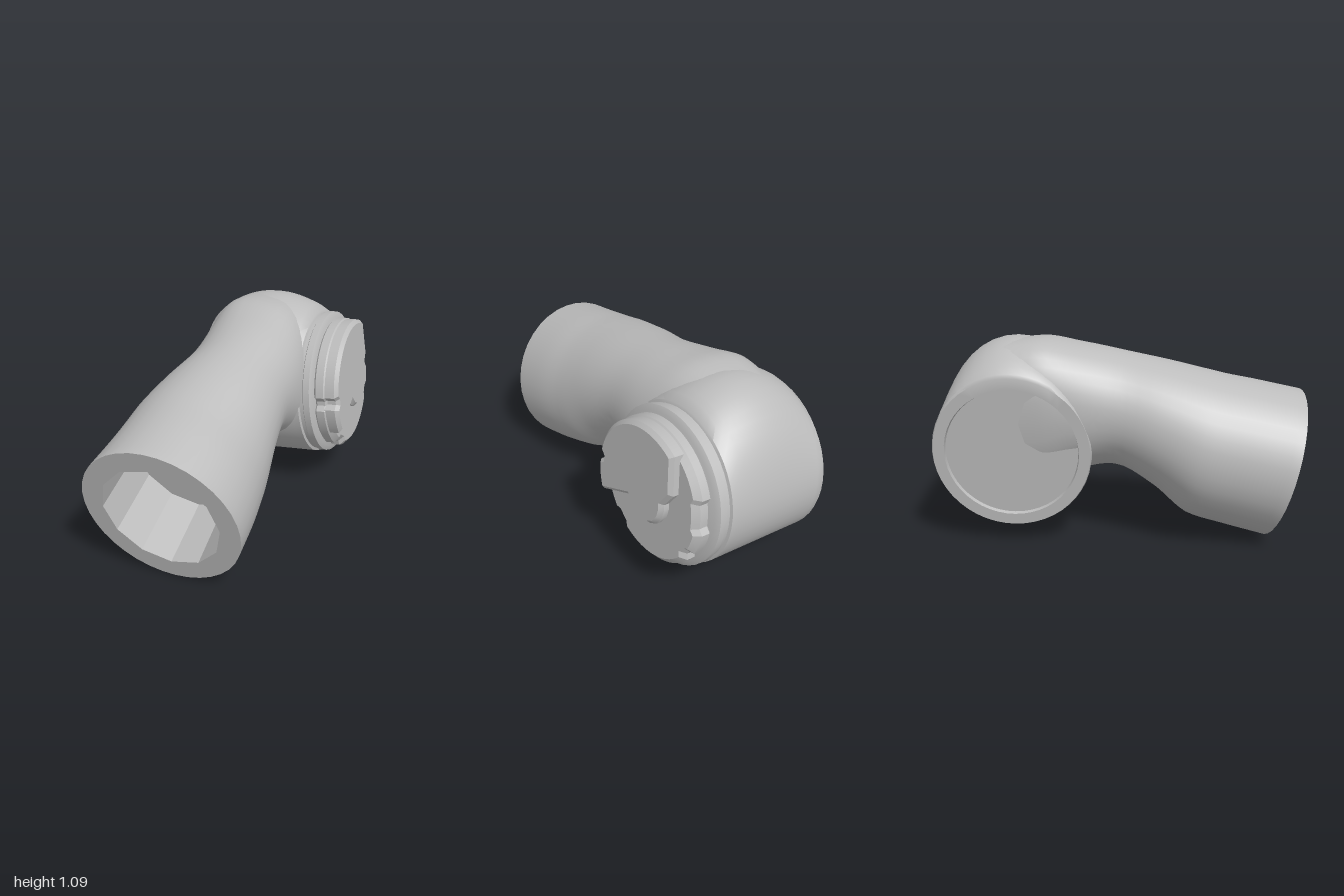
import * as THREE from 'three';
import { toCreasedNormals, mergeVertices } from 'three/addons/utils/BufferGeometryUtils.js';

const SIDES = 36;

// Skin a list of rings (each an array of SIDES Vector3) into one surface.
function loft(rings, crease) {
  const pos = [], idx = [];
  rings.forEach(r => r.forEach(p => pos.push(p.x, p.y, p.z)));
  for (let i = 0; i < rings.length - 1; i++) {
    for (let j = 0; j < SIDES; j++) {
      const k = (j + 1) % SIDES;
      const a = i * SIDES + j, b = i * SIDES + k, c = a + SIDES, d = b + SIDES;
      idx.push(a, c, b, b, c, d);
    }
  }
  const g = new THREE.BufferGeometry();
  g.setAttribute('position', new THREE.Float32BufferAttribute(pos, 3));
  g.setIndex(idx);
  g.computeVertexNormals();
  return toCreasedNormals(g, crease);
}

// Arm stations: centre x, y, z; half width; half height vector y, z.
const STATIONS = [
  [0.05, 0.405, 0.885, 0.41, 0.405, 0.10],
  [0.02, 0.46, 0.66, 0.40, 0.40, 0.09],
  [-0.02, 0.52, 0.445, 0.39, 0.39, 0.075],
  [-0.035, 0.62, 0.25, 0.355, 0.34, 0.05],
  [-0.045, 0.70, 0.025, 0.315, 0.31, 0.025],
  [-0.065, 0.71, -0.2, 0.32, 0.35, 0],
  [-0.085, 0.685, -0.4, 0.31, 0.41, 0],
  [-0.10, 0.66, -0.6, 0.29, 0.41, 0],
  [-0.10, 0.64, -0.75, 0.24, 0.30, 0],
  [-0.10, 0.62, -0.86, 0.001, 0.001, 0],
];
const centres = new THREE.CatmullRomCurve3(STATIONS.map(s => new THREE.Vector3(s[0], s[1], s[2])));
const sizes = new THREE.CatmullRomCurve3(STATIONS.map(s => new THREE.Vector3(s[3], s[4], s[5])));

// One slanted ring of the arm, squarer and sheared to the barrel towards the joint;
// facets > 0 makes it a polygon.
function armRing(t, scale = 1, depth = 0, facets = 0) {
  const c = centres.getPoint(t), s = sizes.getPoint(t);
  const slant = -0.17 * Math.max(0, 1 - t * 1.6);
  const blend = THREE.MathUtils.smoothstep(t, 0.42, 0.68);
  const bend = v => Math.sign(v) * Math.abs(v) ** (1 - 0.25 * blend);
  return Array.from({ length: SIDES }, (_, j) => {
    const a = j / SIDES * Math.PI * 2;
    let k = scale;
    if (facets) {
      const h = Math.PI / facets;
      k *= Math.cos(h) / Math.cos((a % (2 * h)) - h);
    }
    const u = bend(Math.cos(a)) * k * s.x, v = bend(Math.sin(a)) * k;
    return new THREE.Vector3(
      c.x + u - 0.12 * blend * v * s.y - 0.2 * depth,
      c.y + v * s.y + 0.24 * depth,
      c.z + v * s.z + slant * u - 0.95 * depth);
  });
}

// Points on an arc, in degrees.
function arc(r, from, to, steps) {
  return Array.from({ length: steps + 1 }, (_, i) => {
    const a = (from + (to - from) * i / steps) * Math.PI / 180;
    return new THREE.Vector2(r * Math.cos(a), r * Math.sin(a));
  });
}

function extrude(points, depth, bevel) {
  const g = new THREE.ExtrudeGeometry(new THREE.Shape(points), {
    depth, bevelEnabled: true, bevelThickness: bevel, bevelSize: bevel, bevelOffset: -bevel, bevelSegments: 1,
  });
  return toCreasedNormals(g, 0.4);
}

// Barrel turned about z, with its upper side swollen to carry the arm into the joint.
function barrelGeometry() {
  const end = 0.61;
  const side = Array.from({ length: 17 }, (_, i) => [0.42, 0.01 + (end - 0.01) * i / 16]);
  const profile = [
    [0, 0.02], [0.35, 0.02], [0.355, 0], [0.415, 0], ...side,
    [0.405, 0.615], [0.405, 0.635], [0.412, 0.64], [0.412, 0.675], [0.385, 0.69], [0, 0.69],
  ].map(p => new THREE.Vector2(p[0], p[1]));
  const lathe = new THREE.LatheGeometry(profile, 48).rotateX(Math.PI / 2);
  lathe.deleteAttribute('uv');
  lathe.deleteAttribute('normal');
  const g = mergeVertices(lathe), p = g.attributes.position;
  for (let i = 0; i < p.count; i++) {
    const x = p.getX(i), y = p.getY(i), z = p.getZ(i), r = Math.hypot(x, y);
    if (r < 0.418 || z > end - 0.001) continue;
    const swell = 0.12 * Math.sin(Math.PI * z / end) ** 0.7 * Math.max(0, y / r) ** 3;
    p.setXY(i, x * (1 + swell / r), y * (1 + swell / r));
  }
  g.computeVertexNormals();
  return toCreasedNormals(g, 0.6);
}

export function createModel() {
  const model = new THREE.Group();
  model.name = 'elbowJoint';
  const grey = new THREE.MeshStandardMaterial({ color: 0xbcbcbc });
  grey.name = 'grey casing';
  const add = (parent, name, geometry) => {
    const mesh = new THREE.Mesh(geometry, grey);
    mesh.name = name;
    parent.add(mesh);
    return mesh;
  };

  // Curved forearm housing, necked in before the joint
  const steps = 40;
  add(model, 'armHousing', loft(Array.from({ length: steps + 1 }, (_, i) => armRing(i / steps)), 0.7));

  // Front rim and the deep faceted socket inside it
  add(model, 'armRim', loft([armRing(0, 0.75, 0, 12), armRing(0)], 0.5));
  add(model, 'armSocket', loft([
    armRing(0, 0.001, 0.4, 12), armRing(0, 0.74, 0.4, 12), armRing(0, 0.75, 0, 12),
  ], 0.4));

  // Joint group: local z runs along the tilted barrel axis
  const joint = new THREE.Group();
  joint.name = 'joint';
  const zAxis = new THREE.Vector3(0.986, 0.123, -0.115).normalize();
  const xAxis = new THREE.Vector3(0, 1, 0).cross(zAxis).normalize();
  const yAxis = zAxis.clone().cross(xAxis);
  joint.quaternion.setFromRotationMatrix(new THREE.Matrix4().makeBasis(xAxis, yAxis, zAxis));
  joint.position.set(-0.4, 0.515, -0.51);
  model.add(joint);

  // Barrel with a shallow recess at one end and a flange ring at the other
  add(joint, 'jointBarrel', barrelGeometry());

  // Cap base: bevelled disc with notches round its edge
  const notches = [[-30, 5], [10, 14], [178, 4], [236, 5]];
  const outline = arc(1, -60, 300, 90).slice(0, -1).map(p => {
    const deg = Math.atan2(p.y, p.x) * 180 / Math.PI;
    const cut = notches.some(([a, w]) => Math.abs(((deg - a + 540) % 360) - 180) < w);
    return p.multiplyScalar(cut ? 0.35 : 0.375);
  });
  add(joint, 'capBase', extrude(outline, 0.045, 0.03)).position.z = 0.70;

  // Raised cover plate with a stepped edge that curves round the hub
  const edge = [
    [-0.105, -0.075], [-0.075, -0.115], [-0.035, -0.138], [0.01, -0.145], [0.07, -0.135], [0.12, -0.105],
    [0.15, -0.055], [0.16, 0], [0.155, 0.03], [0.21, 0.115],
  ].map(p => new THREE.Vector2(p[0], p[1]));
  const rim = arc(0.368, 60, 209, 40);
  rim.slice(31, 33).forEach(p => p.multiplyScalar(0.92));
  add(joint, 'capCover', extrude([...edge, ...rim], 0.08, 0.02)).position.z = 0.725;

  return model;
}
